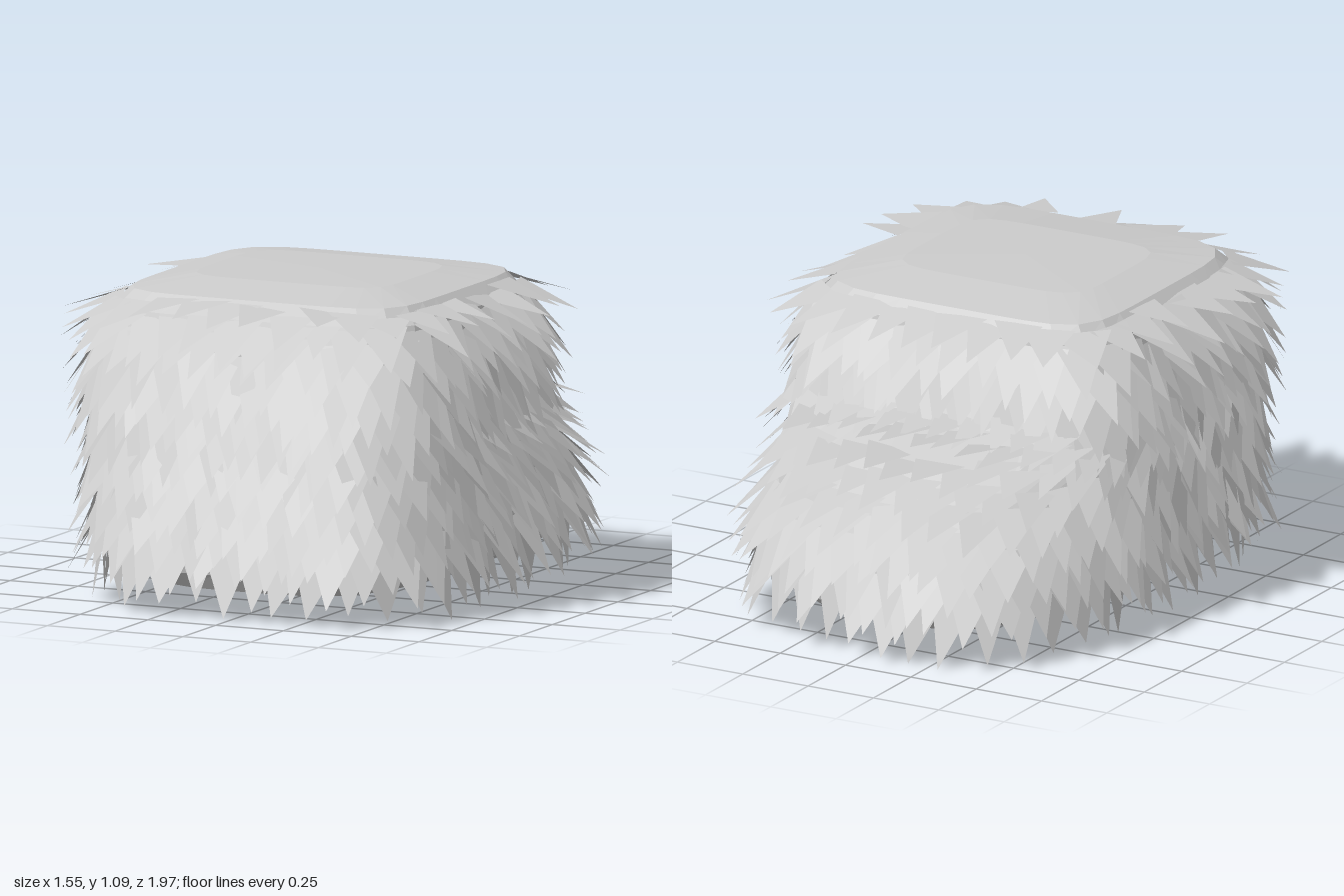
import * as THREE from 'three';

// Body cross-sections: height, half width, back z, front z, back squareness, front squareness
const SECTIONS = [
  [0.085, 0.46, -0.75, 0.79, 3.0, 3.6],
  [0.14, 0.58, -0.81, 0.83, 3.0, 4.2],
  [0.22, 0.62, -0.83, 0.85, 3.1, 5],
  [0.36, 0.62, -0.82, 0.85, 3.0, 5],
  [0.50, 0.62, -0.75, 0.85, 2.7, 5],
  [0.60, 0.62, -0.62, 0.84, 2.7, 5],
  [0.69, 0.62, -0.42, 0.84, 4.2, 5],
  [0.73, 0.62, -0.37, 0.84, 5, 5],
  [0.90, 0.61, -0.37, 0.83, 5, 5],
  [1.00, 0.58, -0.35, 0.79, 5, 5],
  [1.055, 0.52, -0.30, 0.72, 6, 6],
  [1.085, 0.36, -0.08, 0.50, 6, 6],
];

function sectionAt(y) {
  let i = 0;
  while (i < SECTIONS.length - 2 && y > SECTIONS[i + 1][0]) i++;
  const a = SECTIONS[i], b = SECTIONS[i + 1];
  const t = THREE.MathUtils.clamp((y - a[0]) / (b[0] - a[0]), 0, 1);
  return a.map((v, k) => v + (b[k] - v) * t);
}

// Point on the rounded-square outline at a given height and angle
function surfacePoint(angle, y) {
  const [, hx, back, front, eBack, eFront] = sectionAt(y);
  const c = Math.cos(angle), s = Math.sin(angle);
  const e = s < 0 ? eBack : eFront;
  const r = Math.pow(Math.abs(c) ** e + Math.abs(s) ** e, -1 / e);
  return new THREE.Vector3(hx * c * r, y, (front + back) / 2 + ((front - back) / 2) * s * r);
}

// Angles that divide an outline into equal lengths
function evenAngles(y, count, offset) {
  const N = 360, lengths = [0];
  for (let i = 1; i <= N; i++) {
    const p = surfacePoint(((i - 1) / N) * Math.PI * 2, y);
    lengths.push(lengths[i - 1] + p.distanceTo(surfacePoint((i / N) * Math.PI * 2, y)));
  }
  const result = [];
  let j = 0;
  for (let k = 0; k < count; k++) {
    const target = ((k + offset) / count) * lengths[N];
    while (j < N - 1 && lengths[j + 1] < target) j++;
    const t = (target - lengths[j]) / (lengths[j + 1] - lengths[j]);
    result.push(((j + t) / N) * Math.PI * 2);
  }
  return result;
}

function triangles(positions) {
  const g = new THREE.BufferGeometry();
  g.setAttribute('position', new THREE.Float32BufferAttribute(positions, 3));
  g.computeVertexNormals();
  return g;
}

// Closed core, lofted through the sections
function coreGeometry() {
  const out = [], n = 40;
  const tri = (...pts) => pts.forEach((p) => out.push(p.x, p.y, p.z));
  const rings = SECTIONS.map(([y]) => evenAngles(y, n, 0).map((a) => surfacePoint(a, y)));
  for (let r = 0; r < rings.length - 1; r++) {
    for (let i = 0; i < n; i++) {
      const j = (i + 1) % n;
      tri(rings[r][i], rings[r + 1][i], rings[r][j]);
      tri(rings[r][j], rings[r + 1][i], rings[r + 1][j]);
    }
  }
  const bottom = new THREE.Vector3(0, 0.08, 0.02), top = new THREE.Vector3(0, 1.09, 0.21);
  const last = rings[rings.length - 1];
  for (let i = 0; i < n; i++) {
    const j = (i + 1) % n;
    tri(bottom, rings[0][i], rings[0][j]);
    tri(top, last[j], last[i]);
  }
  return triangles(out);
}

let seed = 17;
const rand = () => (seed = (seed * 16807) % 2147483647) / 2147483647;
const vary = (amount) => (rand() * 2 - 1) * amount;

// One ring of pointed tufts, hanging down the slope and leaning outward
function tuftRow(y, count, offset, length, halfWidth, lean) {
  const out = [];
  for (const angle of evenAngles(y, count, offset)) {
    const h = y + vary(0.014);
    const base = surfacePoint(angle, h);
    const along = surfacePoint(angle + 0.02, h).sub(surfacePoint(angle - 0.02, h)).normalize();
    const down = surfacePoint(angle, h - 0.04).sub(surfacePoint(angle, h + 0.01)).normalize();
    const normal = new THREE.Vector3().crossVectors(down, along).normalize();
    if (normal.dot(new THREE.Vector3(Math.cos(angle), 0.3, Math.sin(angle))) < 0) normal.negate();
    const tip = base.clone().addScaledVector(
      down.addScaledVector(normal, lean + vary(0.14)).addScaledVector(along, vary(0.12)).normalize(),
      length * (1 + vary(0.13)));
    tip.y = Math.max(tip.y, 0.005);
    const w = halfWidth * (1 + vary(0.15));
    const twist = vary(0.012);
    const a = base.clone().addScaledVector(along, -w).addScaledVector(normal, twist);
    const b = base.clone().addScaledVector(along, w).addScaledVector(normal, -twist);
    for (const p of [a, b, tip]) out.push(p.x, p.y, p.z);
  }
  return triangles(out);
}

export function createModel() {
  const group = new THREE.Group();
  const grey = new THREE.MeshStandardMaterial({ color: 0xcccccc, side: THREE.DoubleSide });
  grey.name = 'light grey';
  const add = (name, geometry) => {
    const mesh = new THREE.Mesh(geometry, grey);
    mesh.name = name;
    group.add(mesh);
  };

  add('body', coreGeometry());

  // Overlapping rows from the hem up to the shoulders
  const rows = 14;
  for (let i = 0; i < rows; i++) {
    const y = 0.235 + (i / (rows - 1)) * 0.715;
    add('tuftRow', tuftRow(y, 46, (i % 2) * 0.5 + 0.1, 0.22, 0.085, 0.5));
  }

  // Broad, flatter tufts fringing the top
  add('collarTufts', tuftRow(0.995, 40, 0.2, 0.21, 0.085, 0.55));
  add('topFringe', tuftRow(1.035, 36, 0.5, 0.22, 0.09, 0.55));
  return group;
}
